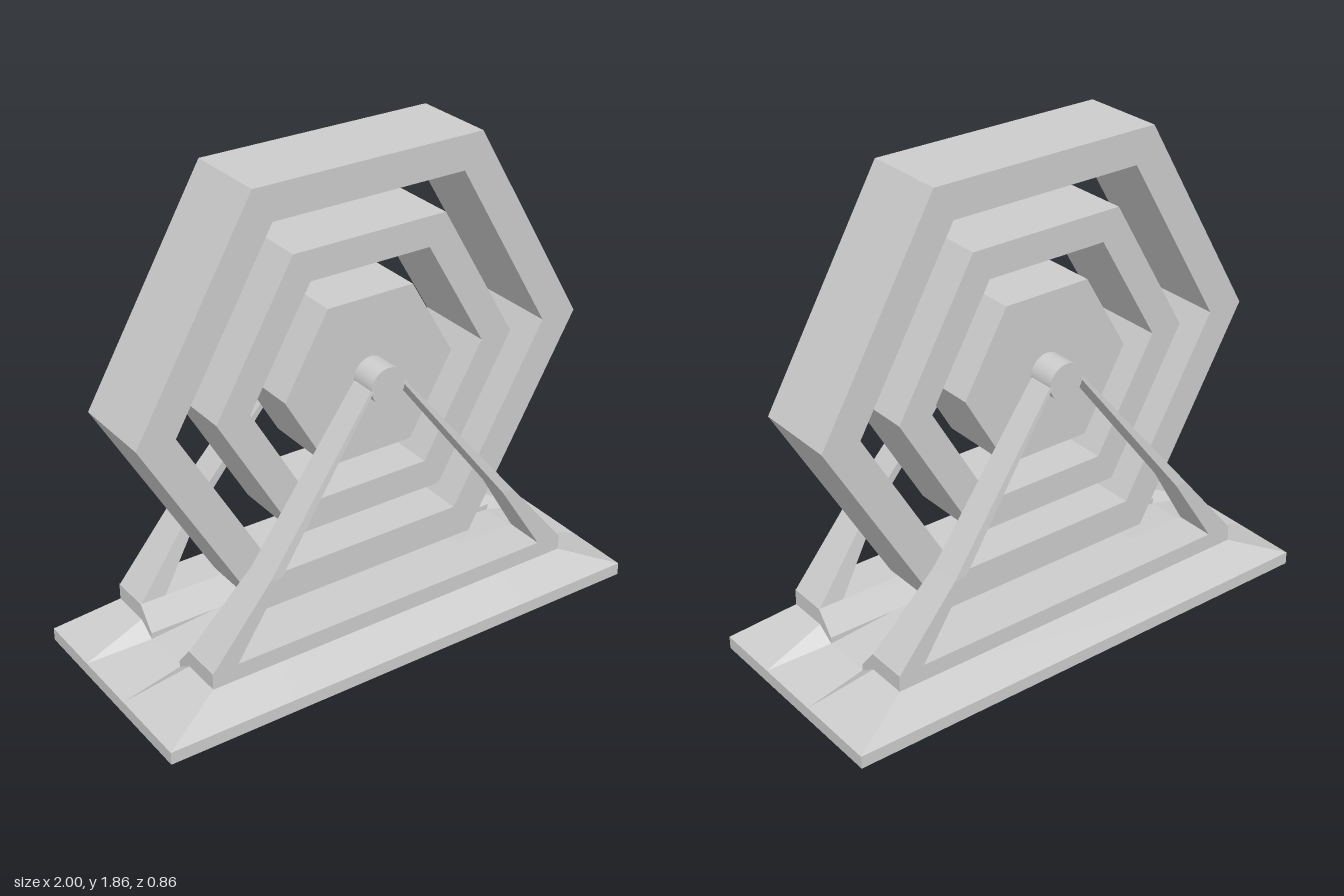
import * as THREE from 'three';

const material = new THREE.MeshStandardMaterial({ color: 0xcccccc, flatShading: true });
const smooth = new THREE.MeshStandardMaterial({ color: 0xcccccc });

// Skin equal-length loops of points; each loop turns about the direction of travel
function loft(loops) {
  const n = loops[0].length, last = (loops.length - 1) * n, index = [];
  for (let i = 0; i < loops.length - 1; i++) {
    for (let j = 0; j < n; j++) {
      const a = i * n + j, b = i * n + (j + 1) % n;
      index.push(a, b, b + n, a, b + n, a + n);
    }
  }
  for (let j = 1; j < n - 1; j++) {
    index.push(0, j + 1, j, last, last + j, last + j + 1);
  }
  const geometry = new THREE.BufferGeometry();
  geometry.setAttribute('position', new THREE.Float32BufferAttribute(loops.flat(2), 3));
  geometry.setIndex(index);
  const flat = geometry.toNonIndexed();
  flat.computeVertexNormals();
  return flat;
}

// Mirror loops in x and z, keeping the faces outward
function mirrored(loops, sx, sz) {
  return loops.map((loop) => {
    const points = loop.map(([x, y, z]) => [sx * x, y, sz * z]);
    return sx * sz < 0 ? points.reverse() : points;
  });
}

function hexagon(radius, PathType) {
  const points = [];
  for (let i = 0; i < 6; i++) {
    const a = i * Math.PI / 3;
    points.push(new THREE.Vector2(radius * Math.cos(a), radius * Math.sin(a)));
  }
  return new PathType(points);
}

export function createModel() {
  const group = new THREE.Group();
  const add = (name, geometry, mat = material) => {
    const mesh = new THREE.Mesh(geometry, mat);
    mesh.name = name;
    group.add(mesh);
    return mesh;
  };

  // Base: bevelled plinth with a shallow channel along the middle
  const section = (x, top, floor, shoulder) => {
    const half = [[0.43, 0], [0.43, 0.05], [shoulder, top], [0.17, top], [0.1, floor]];
    return [
      ...half.map(([z, y]) => [x, y, -z]),
      ...half.slice().reverse().map(([z, y]) => [x, y, z]),
    ];
  };
  add('base', loft([
    section(-1, 0.05, 0.05, 0.43),
    section(-0.77, 0.15, 0.105, 0.33),
    section(-0.5, 0.15, 0.13, 0.33),
    section(0.5, 0.15, 0.13, 0.33),
    section(0.77, 0.15, 0.105, 0.33),
    section(1, 0.05, 0.05, 0.43),
  ]));

  // Side frames: a bottom rail and two tapering legs each
  const rail = [[0.1, 0.1], [0.1, 0.13], [0.17, 0.215], [0.33, 0.215], [0.33, 0.1]];
  const railLoops = [-0.77, 0.77].map((x) => rail.map(([z, y]) => [x, y, z]));
  // y, inner x, outer x, inner z, outer z
  const legLoops = [
    [0.21, 0.67, 0.77, 0.17, 0.33],
    [0.5, 0.483, 0.53, 0.21, 0.33],
    [1.065, 0.06, 0.075, 0.17, 0.27],
  ].map(([y, xi, xo, zi, zo]) => [[xi, y, zi], [xi, y, zo], [xo, y, zo], [xo, y, zi]]);
  for (const sz of [1, -1]) {
    const side = sz > 0 ? 'front' : 'back';
    // Reversing the loop keeps the rail's winding when mirrored in z only
    add(side + 'Rail', loft(mirrored(railLoops, 1, sz)));
    for (const sx of [1, -1]) {
      add(side + (sx > 0 ? 'LeftLeg' : 'RightLeg'), loft(mirrored(legLoops, sx, sz)));
    }
  }

  // Axle
  const axle = add('axle', new THREE.CylinderGeometry(0.07, 0.07, 0.54, 32), smooth);
  axle.rotation.x = Math.PI / 2;
  axle.position.y = 1.067;

  // Wheel: two concentric hexagonal rings around a solid hub
  const depth = 0.326;
  for (const [name, outer, inner] of [
    ['outerRing', 0.924, 0.775],
    ['innerRing', 0.622, 0.49],
    ['hub', 0.352, 0],
  ]) {
    const shape = hexagon(outer, THREE.Shape);
    if (inner) shape.holes.push(hexagon(inner, THREE.Path));
    const geometry = new THREE.ExtrudeGeometry(shape, { depth, bevelEnabled: false });
    add(name, geometry).position.set(0, 1.06, -depth / 2);
  }
  return group;
}
